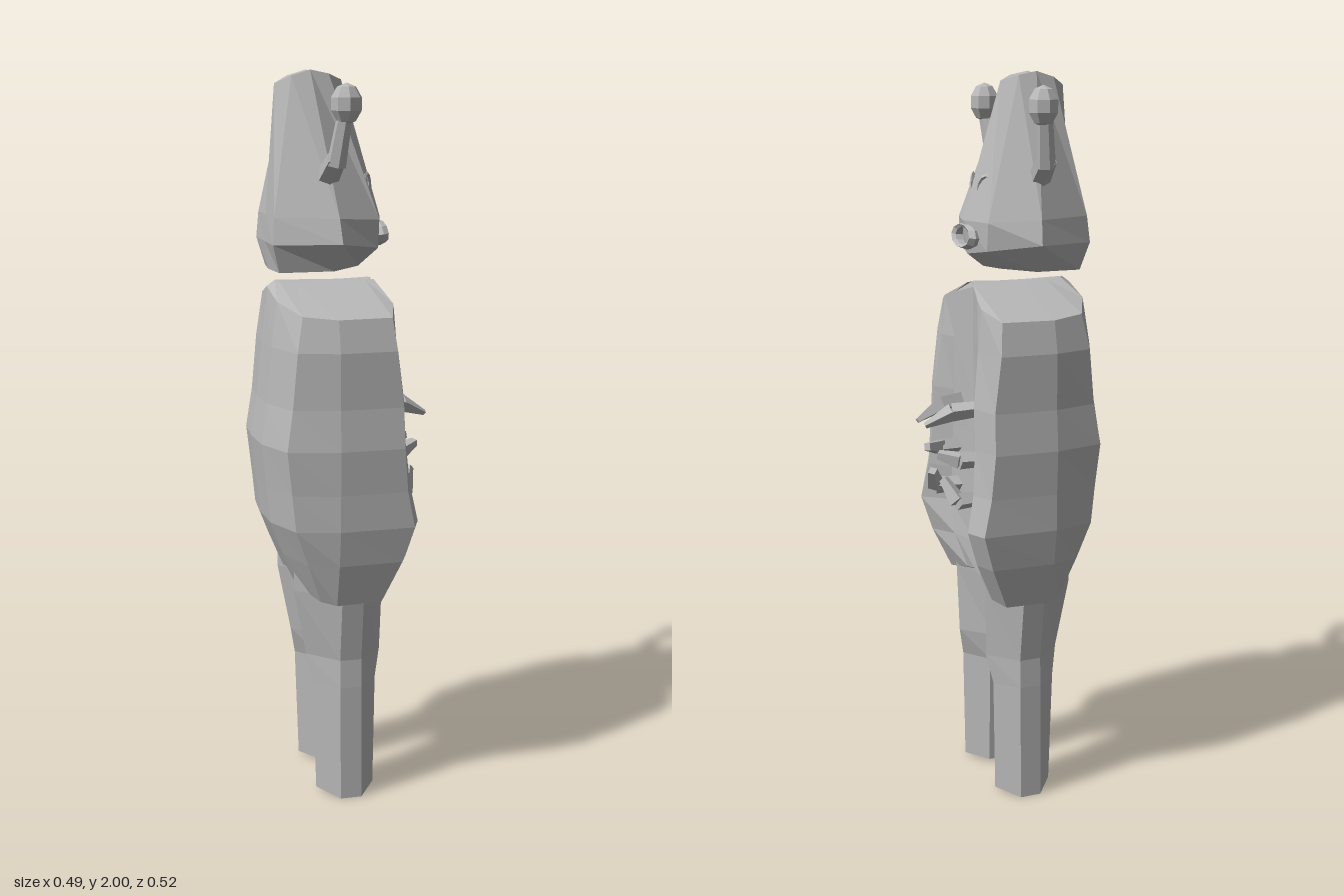
import * as THREE from 'three';

const skin = new THREE.MeshStandardMaterial({ color: 0xb8b8b8, flatShading: true });
skin.name = 'plain grey';

function add(parent, geometry, name) {
  const mesh = new THREE.Mesh(geometry, skin);
  mesh.name = name;
  parent.add(mesh);
  return mesh;
}

// Skin over closed rings of [x, y, z], listed bottom to top, each running from +x towards +z
function loft(rings) {
  const pos = [];
  const tri = (a, b, c) => pos.push(...a, ...b, ...c);
  const n = rings[0].length;
  for (let i = 0; i + 1 < rings.length; i++) {
    for (let j = 0; j < n; j++) {
      const k = (j + 1) % n, lo = rings[i], hi = rings[i + 1];
      tri(lo[j], hi[k], lo[k]);
      tri(lo[j], hi[j], hi[k]);
    }
  }
  const centre = (r) => [0, 1, 2].map((a) => r.reduce((s, p) => s + p[a], 0) / n);
  const bottom = rings[0], top = rings[rings.length - 1];
  const cb = centre(bottom), ct = centre(top);
  for (let j = 0; j < n; j++) {
    const k = (j + 1) % n;
    tri(cb, bottom[j], bottom[k]);
    tri(ct, top[k], top[j]);
  }
  const g = new THREE.BufferGeometry();
  g.setAttribute('position', new THREE.Float32BufferAttribute(pos, 3));
  g.computeVertexNormals();
  return g;
}

// Complete a half ring by mirroring it in z
const mirrorRing = (half) => [
  ...half,
  ...half.slice(1, -1).reverse().map(([x, y, z]) => [x, y, -z]),
];

// Straight tapered limb between two points
function limb(parent, a, b, ra, rb, sides, name) {
  const from = new THREE.Vector3(...a), to = new THREE.Vector3(...b);
  const dir = to.clone().sub(from);
  const mesh = add(parent, new THREE.CylinderGeometry(rb, ra, dir.length(), sides), name);
  mesh.position.copy(from).add(to).multiplyScalar(0.5);
  mesh.quaternion.setFromUnitVectors(new THREE.Vector3(0, 1, 0), dir.normalize());
  return mesh;
}

function makeHead() {
  const g = new THREE.Group();
  g.name = 'head';
  add(g, loft([
    [[0.06, 1.485, 0], [0.04, 1.485, 0.07], [-0.04, 1.48, 0.135], [-0.18, 1.475, 0.1], [-0.19, 1.475, 0]],
    [[0.105, 1.52, 0], [0.088, 1.535, 0.1], [-0.03, 1.555, 0.195], [-0.2, 1.55, 0.12], [-0.2, 1.55, 0]],
    [[0.118, 1.61, 0], [0.088, 1.61, 0.11], [-0.035, 1.62, 0.178], [-0.195, 1.62, 0.11], [-0.197, 1.62, 0]],
    [[0.01, 1.97, 0], [-0.03, 1.985, 0.03], [-0.08, 1.995, 0.032], [-0.13, 1.98, 0.03], [-0.17, 1.96, 0]],
  ].map(mirrorRing)), 'skull');

  // Open lips, the lower one jutting forward
  const lips = new THREE.Group();
  lips.name = 'lips';
  lips.position.set(0.11, 1.567, 0);
  lips.rotation.z = 0.12;
  g.add(lips);
  const lipRing = add(lips, new THREE.TorusGeometry(0.057, 0.014, 5, 10), 'lipRing');
  lipRing.scale.set(1.1, 0.5, 1.2);
  lipRing.rotation.y = Math.PI / 2;

  for (const s of [1, -1]) {
    // Curved eyelid
    const lid = add(g, new THREE.TorusGeometry(0.03, 0.005, 4, 6, Math.PI), 'eyelid');
    lid.position.set(0.068, 1.685, s * 0.05);
    lid.scale.y = 1.4;
    lid.rotation.set(0, Math.PI / 2 - s * 0.55, 0);
    // Feeler with a round tip
    const feeler = new THREE.Group();
    feeler.name = 'feeler';
    g.add(feeler);
    limb(feeler, [-0.055, 1.71, s * 0.1], [-0.045, 1.775, s * 0.185], 0.032, 0.026, 6, 'feelerBase');
    limb(feeler, [-0.045, 1.755, s * 0.178], [-0.028, 1.89, s * 0.208], 0.026, 0.02, 6, 'feelerStalk');
    const tip = add(feeler, new THREE.SphereGeometry(0.042, 8, 5), 'feelerTip');
    tip.scale.y = 1.25;
    tip.position.set(-0.025, 1.91, s * 0.205);
  }
  return g;
}

// Broad back and side casing around a recessed belly
function makeTorso() {
  const levels = [ // side y, front x, back x, lip z, front edge z, side z, rise towards the middle
    [0.58, 0.1, -0.145, 0.05, 0.16, 0.21, 0.25],
    [0.7, 0.15, -0.185, 0.1, 0.18, 0.24, 0.05],
    [0.8, 0.18, -0.22, 0.135, 0.19, 0.255, 0],
    [0.9, 0.16, -0.23, 0.12, 0.18, 0.255, 0],
    [1.02, 0.15, -0.243, 0.11, 0.165, 0.26, 0],
    [1.13, 0.148, -0.226, 0.1, 0.155, 0.25, 0],
    [1.28, 0.13, -0.212, 0.09, 0.14, 0.25, 0],
    [1.365, 0.12, -0.195, 0.085, 0.14, 0.23, 0.28],
    [1.44, 0.098, -0.172, 0.015, 0.018, 0.02, 0.3],
  ];
  return loft(levels.map(([y, xf, xb, zl, zf, zs, rise]) => mirrorRing([
    [Math.min(0.09, xf - 0.01), 0], // belly centre
    [Math.min(0.11, xf - 0.01), zl], // inner lip
    [xf, zf], // front edge
    [xf - 0.025, zs * 0.98], // front side
    [-0.05, zs], // side
    [xb + 0.055, zs * 0.88], // rear side
    [xb + 0.007, zs * 0.45], // back edge
    [xb, 0], // back centre
  ].map(([x, z]) => [x, y + rise * (zs - z), z]))));
}

// Six-sided leg with a bent knee, its hip tapering into the belly
function makeLeg(s) {
  const rings = [ // y, front, back, inner z, outer z, middle z
    [0.01, 0.075, -0.09, 0.05, 0.19, 0.12],
    [0.33, 0.08, -0.1, 0.045, 0.187, 0.12],
    [0.41, 0.096, -0.115, 0.03, 0.183, 0.105],
    [0.6, 0.1, -0.15, 0.002, 0.21, 0.115],
    [0.72, 0.11, -0.15, 0.002, 0.215, 0.12],
    [0.82, 0.1, -0.12, 0.002, 0.15, 0.08],
  ].map(([y, f, b, zi, zo, m]) => {
    const r = [[f, m], [0.025, zo], [-0.035, zo], [b, m], [-0.035, zi], [0.025, zi]]
      .map(([x, z]) => [x, y < 0.1 && z === zo ? 0 : y, s * z]);
    return s < 0 ? r.reverse() : r;
  });
  return loft(rings);
}

export function createModel() {
  const model = new THREE.Group();
  model.name = 'insectCreature';
  model.add(makeHead());
  add(model, makeTorso(), 'torso');

  // Three pairs of small belly claws: base, middle, tip, then tip radius
  const claws = [
    [[0.08, 1.11, 0.075], [0.17, 1.1, 0.05], [0.242, 1.065, 0.032], 0.008],
    [[0.08, 0.97, 0.085], [0.16, 0.972, 0.08], [0.21, 0.985, 0.045], 0.014],
    [[0.08, 0.86, 0.08], [0.17, 0.86, 0.09], [0.195, 0.915, 0.045], 0.014],
  ];
  for (const s of [1, -1]) {
    add(model, makeLeg(s), s > 0 ? 'leftLeg' : 'rightLeg');
    for (const [base, middle, end, tipRadius] of claws) {
      const [a, b, c] = [base, middle, end].map(([x, y, z]) => [x, y, s * z]);
      limb(model, a, b, 0.02, 0.025, 4, 'clawBase');
      limb(model, b, c, 0.025, tipRadius, 4, 'clawTip');
    }
  }
  return model;
}
